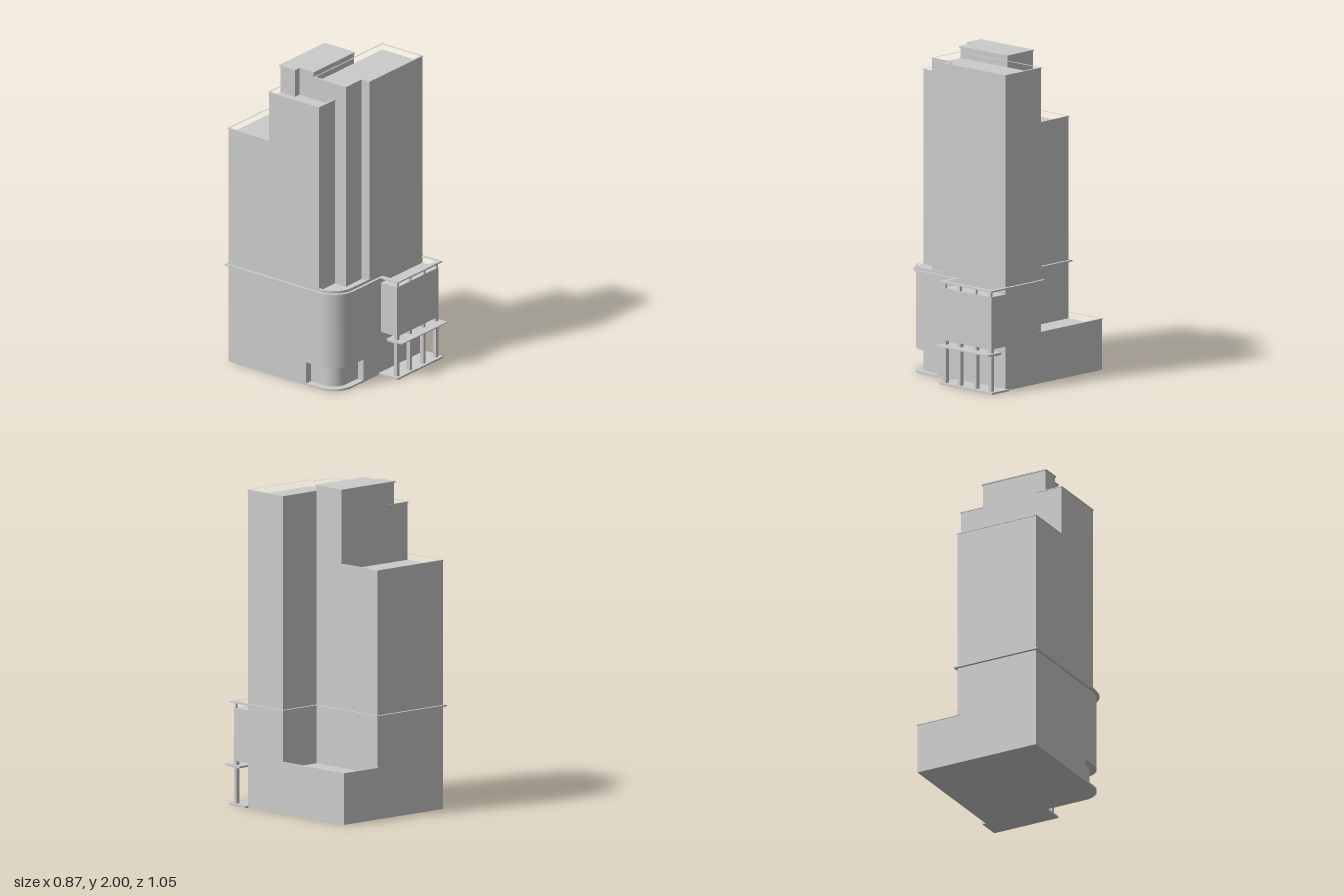
import * as THREE from 'three';
import { toCreasedNormals } from 'three/addons/utils/BufferGeometryUtils.js';

const material = new THREE.MeshStandardMaterial({ color: 0xcccccc });

// Plan points are [x, z]; shapes are drawn with y = -z and laid flat.
const toVectors = (plan) => plan.map(([x, z]) => new THREE.Vector2(x, -z));
const rect = (x0, x1, z0, z1) => [[x0, z0], [x1, z0], [x1, z1], [x0, z1]];

// Moves every side of a plan outwards by d (inwards when negative).
function offset(plan, d) {
  const p = toVectors(plan);
  const sign = Math.sign(THREE.ShapeUtils.area(p));
  return p.map((v, i) => {
    const a = v.clone().sub(p[(i + p.length - 1) % p.length]).normalize();
    const b = p[(i + 1) % p.length].clone().sub(v).normalize();
    const n1 = new THREE.Vector2(a.y, -a.x).multiplyScalar(sign);
    const n2 = new THREE.Vector2(b.y, -b.x).multiplyScalar(sign);
    const m = n1.clone().add(n2).multiplyScalar(d / (1 + n1.dot(n2)));
    return [v.x + m.x, -(v.y + m.y)];
  });
}

// Upright prism over a plan, with an optional hole.
function prism(parent, name, plan, y0, y1, hole) {
  const shape = new THREE.Shape(toVectors(plan));
  if (hole) shape.holes.push(new THREE.Path(toVectors(hole)));
  const geometry = new THREE.ExtrudeGeometry(shape, { depth: y1 - y0, bevelEnabled: false });
  geometry.rotateX(-Math.PI / 2).translate(0, y0, 0);
  return addMesh(parent, name, toCreasedNormals(geometry, 0.5));
}

function addMesh(parent, name, geometry) {
  const mesh = new THREE.Mesh(geometry, material);
  mesh.name = name;
  parent.add(mesh);
  return mesh;
}

function box(parent, name, x0, x1, y0, y1, z0, z1) {
  const geometry = new THREE.BoxGeometry(x1 - x0, y1 - y0, z1 - z0);
  geometry.translate((x0 + x1) / 2, (y0 + y1) / 2, (z0 + z1) / 2);
  return addMesh(parent, name, geometry);
}

// Block with a sunken roof, a parapet and a thin coping.
function parapetBlock(parent, name, plan, y0, y1, drop = 0.04) {
  const group = new THREE.Group();
  group.name = name;
  const inner = offset(plan, -0.01);
  prism(group, 'walls', plan, y0, y1 - drop);
  prism(group, 'parapet', plan, y1 - drop, y1, inner);
  prism(group, 'coping', offset(plan, 0.004), y1 - 0.005, y1, inner);
  parent.add(group);
}

// Quarter round at the front corner, from the front wall to the side wall.
function corner(x, z, r, steps = 14) {
  return Array.from({ length: steps + 1 }, (_, i) => {
    const a = (i / steps) * Math.PI / 2;
    return [x + r - r * Math.sin(a), z - r + r * Math.cos(a)];
  });
}

export function createModel() {
  const model = new THREE.Group();
  model.name = 'towerBuilding';

  // Podium with a rounded corner and a recessed corner entrance
  const rear = [[-0.42, -0.505], [0.13, -0.505], [0.13, 0.033], [0.41, 0.033]];
  const round = corner(-0.42, 0.345, 0.135);
  const podium = [...rear, [0.41, 0.345], ...round];
  const recessed = [...rear, [0.41, 0.345], [-0.165, 0.345], [-0.165, 0.3],
    ...corner(-0.375, 0.3, 0.09), [-0.375, 0.1], [-0.42, 0.1]];
  prism(model, 'podiumBase', podium, 0, 0.012);
  prism(model, 'podiumGroundFloor', recessed, 0.012, 0.15);
  prism(model, 'podium', podium, 0.15, 0.635);
  parapetBlock(model, 'podiumTerrace',
    [[-0.42, 0.15], [-0.1, 0.15], [-0.1, 0.345], ...round], 0.63, 0.662, 0.016);

  // Cornice ring around podium and porch
  const outline = [...rear, [0.41, 0.47], [0.005, 0.47], [0.005, 0.345], ...round];
  prism(model, 'cornice', offset(outline, 0.017), 0.634, 0.643, offset(outline, -0.012));

  // Low rear annex
  parapetBlock(model, 'annex', rect(0.12, 0.41, -0.505, 0.043), 0, 0.32);

  // Stepped tower
  parapetBlock(model, 'frontTower', [[-0.265, 0.033], [0.41, 0.033], [0.41, 0.345],
    [-0.11, 0.345], [-0.11, 0.285], [-0.265, 0.285]], 0.63, 1.965);
  parapetBlock(model, 'sideTower', rect(-0.42, -0.25, -0.19, 0.2), 0.63, 1.86);
  parapetBlock(model, 'rearTower', rect(-0.42, 0.13, -0.505, -0.18), 0.63, 1.54);
  const core = [[-0.308, -0.19], [0.13, -0.19], [0.13, 0.035], [-0.265, 0.035],
    [-0.265, -0.075], [-0.308, -0.075]];
  prism(model, 'core', core, 0.63, 1.993);
  prism(model, 'coreRoof', offset(core, 0.006), 1.992, 2);

  // Front porch: upper storey on piers, with posts under the cornice
  const porch = new THREE.Group();
  porch.name = 'porch';
  model.add(porch);
  box(porch, 'porchSlab', -0.014, 0.434, 0, 0.012, 0.34, 0.488);
  box(porch, 'porchStorey', 0.005, 0.41, 0.275, 0.6, 0.34, 0.47);
  for (const [x0, x1] of [[0.005, 0.03], [0.13, 0.152], [0.263, 0.285], [0.387, 0.41]]) {
    box(porch, 'pier', x0, x1, 0.012, 0.275, 0.445, 0.47);
    const x = (x0 + x1) / 2;
    box(porch, 'cornicePost', x - 0.007, x + 0.007, 0.6, 0.635, 0.456, 0.47);
  }

  // Canopy with a tapered underside, extruded across the porch
  const profile = new THREE.Shape([[0.4, 0.25], [0.4, 0.238], [0.44, 0.234], [0.526, 0.243],
    [0.526, 0.25]].map(([z, y]) => new THREE.Vector2(-z, y)));
  const canopy = new THREE.ExtrudeGeometry(profile, { depth: 0.442, bevelEnabled: false });
  canopy.rotateY(Math.PI / 2).translate(-0.012, 0, 0);
  addMesh(porch, 'canopy', canopy);

  return model;
}
